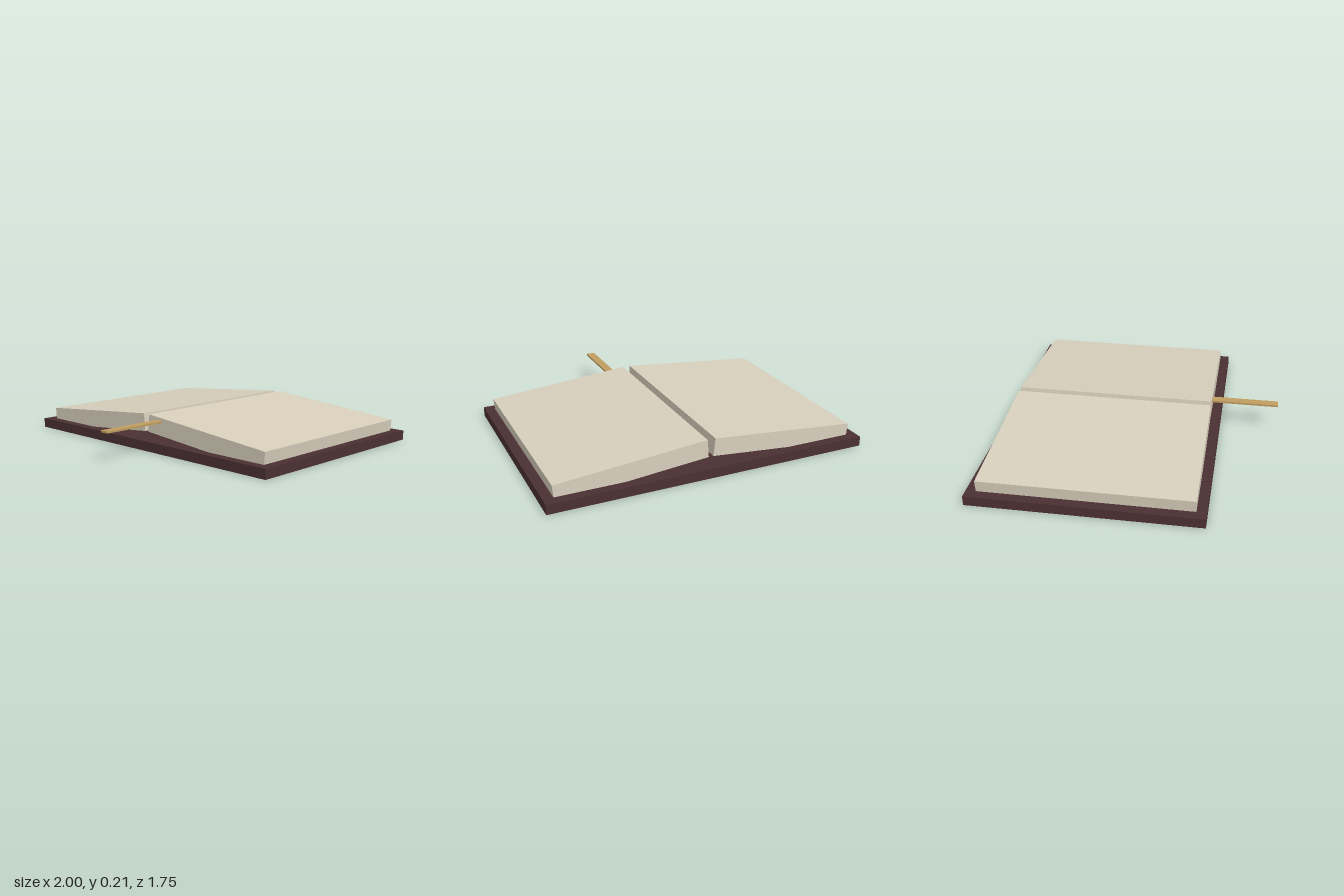
import * as THREE from 'three';

export function createModel() {
  const model = new THREE.Group();
  model.name = 'openBook';

  const material = (name, color) => {
    const m = new THREE.MeshStandardMaterial({ color });
    m.name = name;
    return m;
  };
  const leather = material('dark leather', 0x4a3032);
  const paper = material('aged paper', 0xd8cfbc);
  const gold = material('gold ribbon', 0xbf9d60);

  const addBox = (name, mat, size, position) => {
    const mesh = new THREE.Mesh(new THREE.BoxGeometry(...size), mat);
    mesh.name = name;
    mesh.position.set(...position);
    model.add(mesh);
    return mesh;
  };

  // Flat cover
  addBox('cover', leather, [2, 0.06, 1.385], [0, 0.03, -0.1825]);

  // Two page blocks, rising toward the spine
  for (const side of [-1, 1]) {
    const name = side > 0 ? 'leftPages' : 'rightPages';
    const pages = addBox(name, paper, [0.924, 0.11, 1.265], [side * 0.48, 0.119, -0.1825]);
    pages.rotation.z = -side * 0.089;
  }

  // Bookmark ribbon sticking out of the front edge
  addBox('bookmark', gold, [0.055, 0.012, 0.525], [0.1125, 0.182, 0.6125]);

  return model;
}
